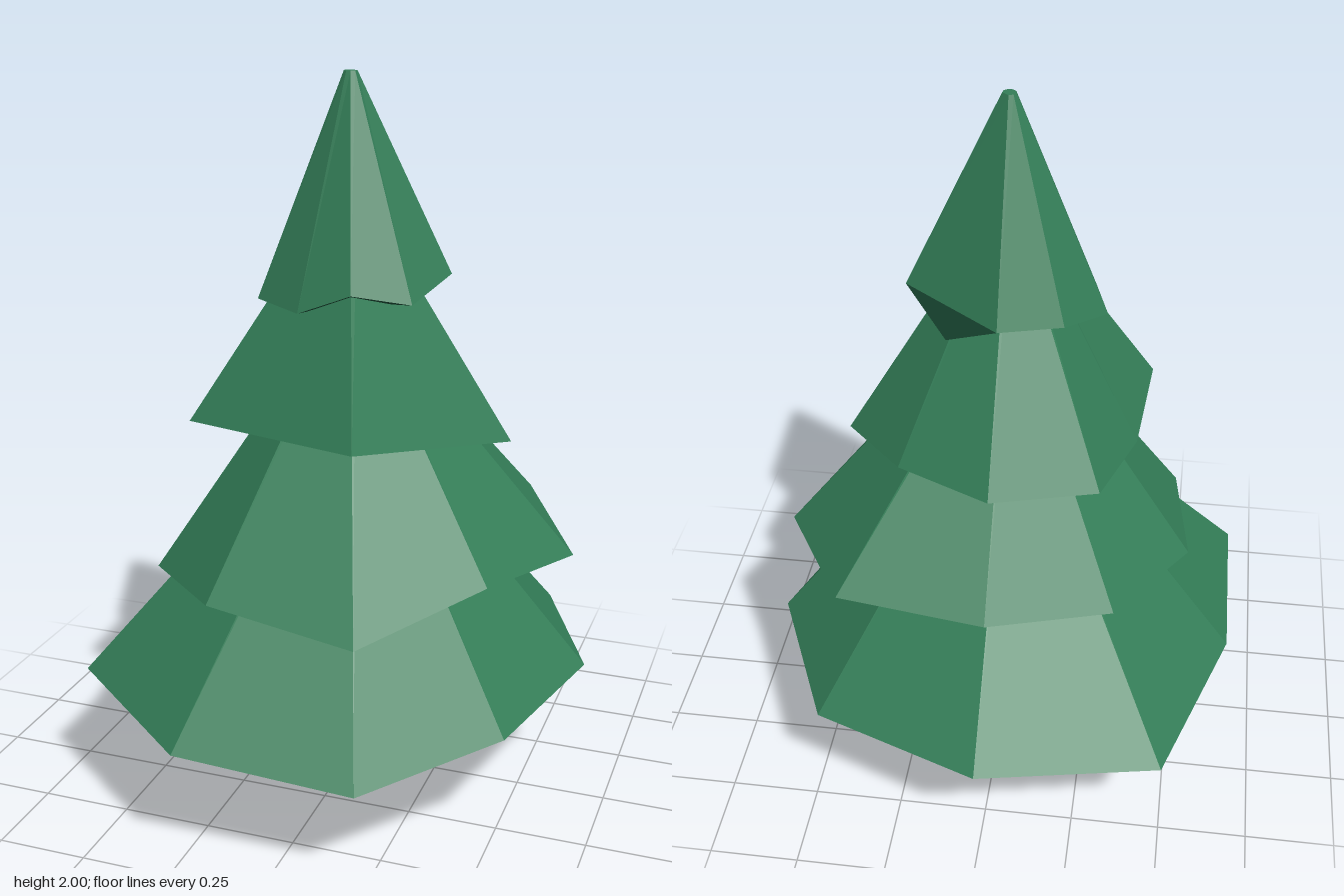
import * as THREE from 'three';

const AXIS_Z = 0.025;

function facetGeometry(points) {
  const g = new THREE.BufferGeometry();
  g.setAttribute('position', new THREE.Float32BufferAttribute(points.flat(), 3));
  g.computeVertexNormals();
  return g;
}

// One tier of branches: a faceted cone from a small flat top down to a ragged rim,
// closed below by a shallow underside.
// rim: corners running from the back round by the left side (+x).
// tuck: optional corner hanging under the rim between the first two corners.
function tierGeometries(topY, baseY, rim, tuck) {
  const side = [];
  const under = [];
  const topR = 0.018;
  const apex = [0, topY, AXIS_Z];
  const centre = [0, baseY, AXIS_Z];
  const topPoint = ([x, , z]) => {
    const d = Math.hypot(x, z - AXIS_Z);
    return [(x / d) * topR, topY, AXIS_Z + ((z - AXIS_Z) / d) * topR];
  };

  rim.forEach((a, i) => {
    const b = rim[(i + 1) % rim.length];
    const ta = topPoint(a);
    const tb = topPoint(b);
    // Top cap and sloping side
    side.push(apex, tb, ta, ta, tb, b, ta, b, a);
    // Underside, with a hanging flap at the tucked corner
    if (tuck && i === 0) under.push(centre, a, tuck, centre, tuck, b, tuck, a, b);
    else under.push(centre, a, b);
  });
  return [facetGeometry(side), facetGeometry(under)];
}

const TIERS = [
  {
    name: 'bottomBranches', topY: 1.16, baseY: 0.305,
    rim: [
      [0, 0.37, -0.71], [0.465, 0.36, -0.53], [0.66, 0.36, -0.095],
      [0.535, 0.325, 0.335], [0.24, 0.295, 0.685], [-0.25, 0.335, 0.71],
      [-0.655, 0.365, 0.4], [-0.66, 0.36, -0.095], [-0.495, 0.315, -0.565],
    ],
  },
  {
    name: 'lowerMiddleBranches', topY: 1.41, baseY: 0.675,
    rim: [
      [0, 0.71, -0.485], [0.405, 0.745, -0.46], [0.615, 0.695, -0.085],
      [0.465, 0.728, 0.285], [0.21, 0.656, 0.605], [-0.2, 0.705, 0.575],
      [-0.475, 0.66, 0.29], [-0.525, 0.677, -0.07], [-0.335, 0.7, -0.375],
    ],
  },
  {
    name: 'upperMiddleBranches', topY: 1.71, baseY: 1.06,
    rim: [
      [0, 1.063, -0.4], [0.255, 1.065, -0.283], [0.435, 1.017, -0.055],
      [0.15, 1.106, 0.445], [-0.385, 1.08, 0.245], [-0.36, 1.03, -0.04],
      [-0.28, 1.05, -0.305],
    ],
  },
  {
    name: 'topBranches', topY: 2, baseY: 1.39,
    rim: [
      [0, 1.465, -0.22], [0.265, 1.476, -0.03], [0.21, 1.425, 0.145],
      [0.075, 1.46, 0.24], [-0.075, 1.4, 0.23], [-0.22, 1.41, 0.145],
      [-0.265, 1.423, -0.025], [-0.165, 1.46, -0.165],
    ],
    tuck: [0.145, 1.376, -0.133],
  },
];

function flatMaterial(name, color) {
  const m = new THREE.MeshStandardMaterial({ color, flatShading: true });
  m.name = name;
  return m;
}

export function createModel() {
  const foliage = flatMaterial('foliage green', 0x337d57);
  const shade = flatMaterial('underside dark green', 0x1c4e37);
  const bark = flatMaterial('bark brown', 0x4a301b);

  const tree = new THREE.Group();
  tree.name = 'tree';

  // Six-sided tapering trunk
  const trunk = new THREE.Mesh(new THREE.CylinderGeometry(0.07, 0.09, 0.4, 6), bark);
  trunk.name = 'trunk';
  trunk.position.set(-0.004, 0.2, 0.03);
  tree.add(trunk);

  // Four overlapping tiers of branches, each with a darker underside
  for (const { name, topY, baseY, rim, tuck } of TIERS) {
    const tier = new THREE.Group();
    tier.name = name;
    const [side, under] = tierGeometries(topY, baseY, rim, tuck);
    const needles = new THREE.Mesh(side, foliage);
    needles.name = 'needles';
    const underside = new THREE.Mesh(under, shade);
    underside.name = 'underside';
    tier.add(needles, underside);
    tree.add(tier);
  }
  return tree;
}
